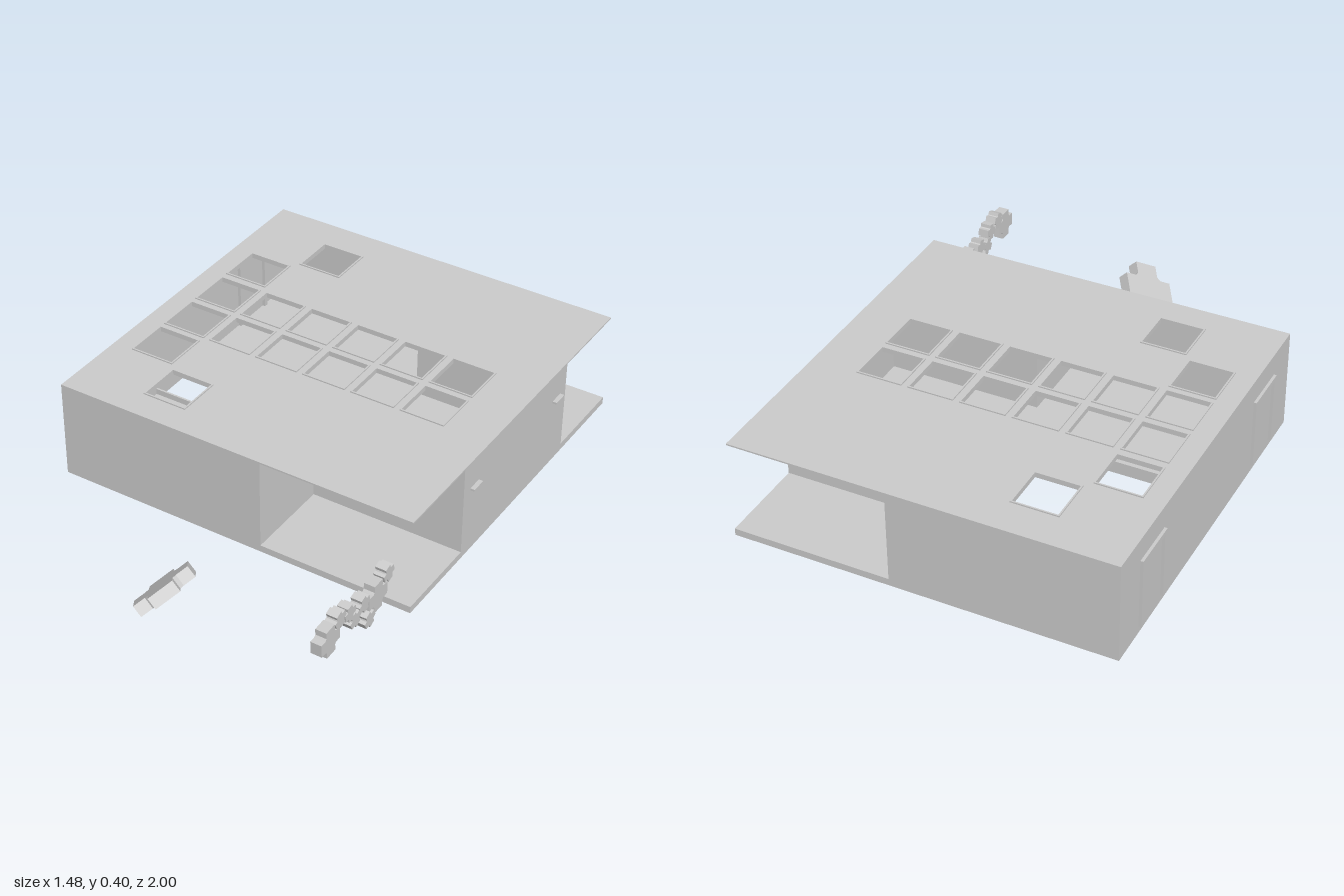
import * as THREE from 'three';

const mat = new THREE.MeshStandardMaterial({ color: 0xcccccc, flatShading: true, side: THREE.DoubleSide });

export function createModel() {
  const model = new THREE.Group();
  const add = (name, geometry) => {
    const mesh = new THREE.Mesh(geometry, mat);
    mesh.name = name;
    model.add(mesh);
    return mesh;
  };
  // Box given by its two extreme corners
  const box = (name, x0, x1, y0, y1, z0, z1) => add(name,
    new THREE.BoxGeometry(x1 - x0, y1 - y0, z1 - z0).translate((x0 + x1) / 2, (y0 + y1) / 2, (z0 + z1) / 2));
  // Rectangle as points
  const rect = (x, y, w, h) => [[x, y], [x + w, y], [x + w, y + h], [x, y + h]].map(p => new THREE.Vector2(...p));
  const slab = (outer, holes, depth, top) => {
    const shape = new THREE.Shape(outer);
    holes.forEach(h => shape.holes.push(new THREE.Path(h)));
    return new THREE.ExtrudeGeometry(shape, { depth, bevelEnabled: false }).rotateX(Math.PI / 2).translate(0, top, 0);
  };

  const W = -0.73, E = 0.72, N = -1, S = 0.445, H = 0.39, T = 0.008;
  const porchX = 0.115, porchS = 0.10, porchN = -0.65;

  // Roof with two rows of openings and four separate skylights
  const size = 0.172, openings = [[-0.447, -0.86], [-0.647, -0.652], [-0.647, -0.045], [-0.447, 0.158]];
  for (let i = 0; i < 6; i++) for (const z of [-0.447, -0.245]) openings.push([-0.647 + i * 0.202, z]);
  add('roof', slab(rect(W, N, E - W, S - N), openings.map(([x, z]) => rect(x, z, size, size)), 0.006, H));
  openings.forEach(([x, z]) => add('skylightFrame', slab(
    rect(x - 0.003, z - 0.003, size + 0.006, size + 0.006), [rect(x + 0.003, z + 0.003, size - 0.006, size - 0.006)], 0.02, H + 0.005)));

  // Floor in two parts, with an open strip between them
  box('frontFloor', W, E, 0, 0.027, -0.108, S);
  box('backFloor', W, E, 0, 0.027, N, -0.448);
  box('floorKerb', W, E - T, 0, 0.05, -0.108, -0.1);

  // Outer walls and the two recessed porches
  box('westWall', W, W + T, 0, H, N, S);
  box('eastWall', E - T, E, 0, H, porchN, porchS);
  box('frontWall', W, porchX, 0, H, S - T, S);
  box('backWall', W, porchX, 0, H, N, N + T);
  box('frontPorchSideWall', porchX - T, porchX, 0, H, porchS, S);
  box('backPorchSideWall', porchX - T, porchX, 0, H, N, porchN);
  box('frontPorchWall', porchX - T, E, 0, H, porchS - T, porchS);
  box('backPorchWall', porchX - T, E, 0, H, porchN, porchN + T);

  // Door frames on the west wall
  for (const z of [-0.755, 0.205]) {
    const h = 0.095, w = 0.018, x0 = W - 0.011, x1 = W + 0.02;
    box('doorJamb', x0, x1, 0.028, 0.303, z - h, z - h + w);
    box('doorJamb', x0, x1, 0.028, 0.303, z + h - w, z + h);
    box('doorLintel', x0, x1, 0.285, 0.303, z - h + w, z + h - w);
  }

  // Handles on the east wall
  for (const z of [-0.58, 0.025]) box('wallHandle', E - 0.01, 0.737, 0.27, 0.278, z - 0.03, z + 0.03);
  box('innerHook', 0.485, 0.495, 0.25, 0.27, -0.447, -0.412);

  // Thick cross standing in the yz plane, spun about x
  const cross = (L, t, spin) => {
    const w = L * 0.45, c = L * 0.12, pts = [];
    for (let i = 0; i < 4; i++) for (const [x, y] of [[L, -w], [L, w], [w + c, w], [w, w + c]])
      pts.push(new THREE.Vector2(x, y).rotateAround(new THREE.Vector2(), i * Math.PI / 2 + spin));
    return new THREE.ExtrudeGeometry(new THREE.Shape(pts), { depth: t, bevelEnabled: false })
      .translate(0, 0, -t / 2).rotateY(Math.PI / 2);
  };

  // Large tilted cross
  const big = add('largeCross', cross(0.113, 0.045, Math.PI / 4));
  big.position.set(0.022, 0.1, 0.883);
  big.rotation.z = Math.PI * 0.75;

  // Cluster of small crosses: z, y, arm length, spin
  [[0.92, 0.22, 0.055, 0.05], [0.86, 0.268, 0.031, 0.4], [0.80, 0.25, 0.031, 0.15], [0.768, 0.2, 0.031, 0.5],
    [0.712, 0.225, 0.031, 0.3], [0.627, 0.198, 0.056, 0], [0.677, 0.134, 0.031, 0.45], [0.56, 0.248, 0.031, 0.3],
  ].forEach(([z, y, L, spin]) => add('smallCross', cross(L, 0.042, spin)).position.set(0.68, y, z));

  return model;
}
